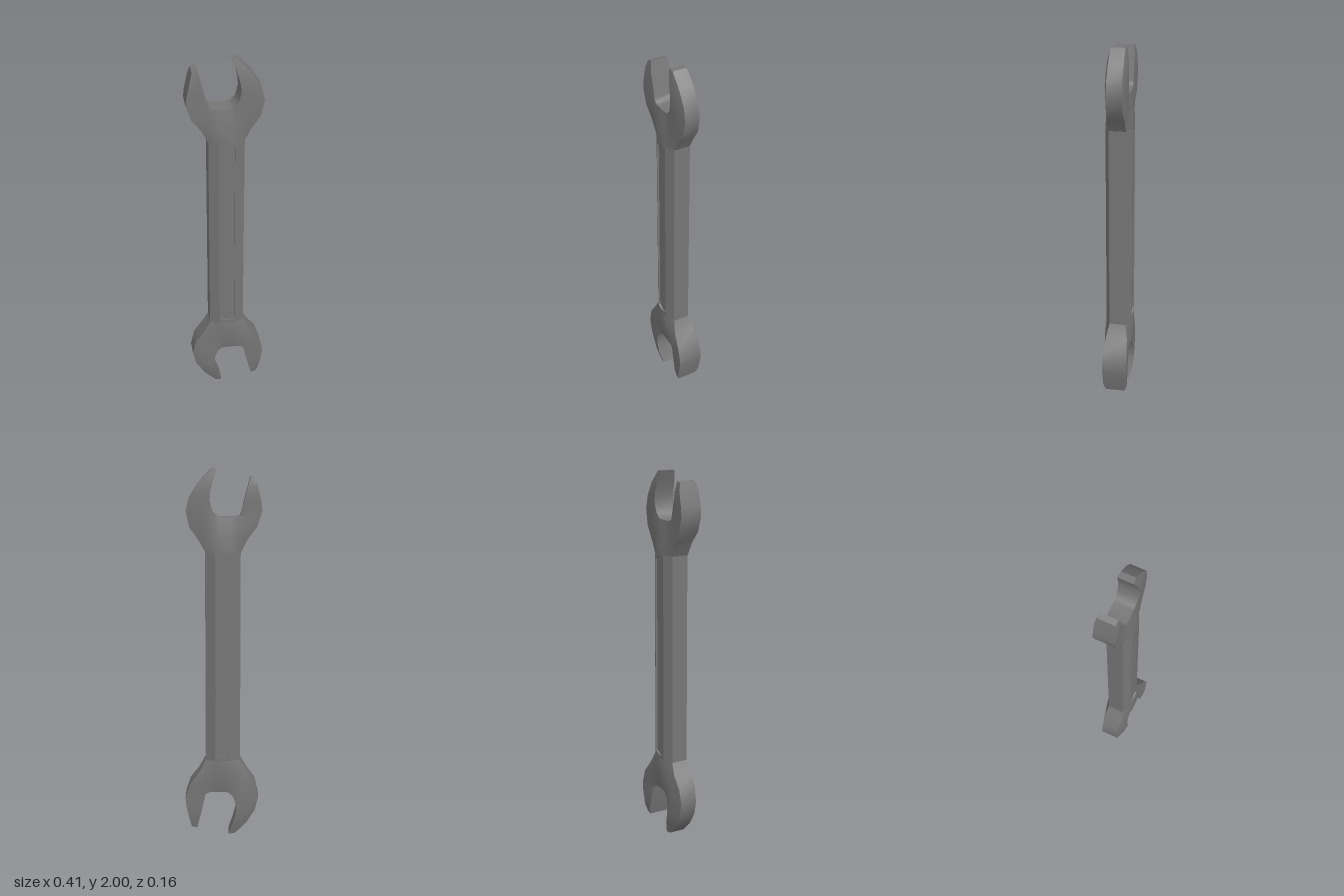
import * as THREE from 'three';
import { toCreasedNormals } from 'three/addons/utils/BufferGeometryUtils.js';

const material = new THREE.MeshStandardMaterial({ color: 0x767676 });

// Stations round the jaw, left tip to right tip:
// [outer x, y, half thickness], [inner x, y, half thickness], middle half thickness
const STATIONS = [
  [[-0.172, 1.955, 0.046], [-0.143, 1.963, 0.046], 0.046],
  [[-0.183, 1.915, 0.057], [-0.131, 1.915, 0.053], 0.056],
  [[-0.202, 1.830, 0.058], [-0.112, 1.840, 0.052], 0.057],
  [[-0.206, 1.785, 0.058], [-0.100, 1.785, 0.052], 0.057],
  [[-0.180, 1.705, 0.057], [-0.096, 1.770, 0.052], 0.058],
  [[-0.130, 1.640, 0.051], [-0.085, 1.757, 0.052], 0.060],
  [[-0.095, 1.570, 0.045], [-0.065, 1.752, 0.052], 0.062],
  [[-0.040, 1.570, 0.071], [-0.040, 1.752, 0.052], 0.068],
  [[0.040, 1.570, 0.071], [0.010, 1.752, 0.052], 0.068],
  [[0.092, 1.570, 0.045], [0.030, 1.755, 0.052], 0.062],
  [[0.130, 1.637, 0.045], [0.056, 1.778, 0.053], 0.058],
  [[0.176, 1.700, 0.042], [0.067, 1.810, 0.055], 0.055],
  [[0.195, 1.785, 0.040], [0.073, 1.840, 0.056], 0.053],
  [[0.177, 1.860, 0.040], [0.070, 1.880, 0.056], 0.052],
  [[0.130, 1.935, 0.040], [0.057, 1.930, 0.054], 0.050],
  [[0.065, 2.000, 0.038], [0.030, 2.000, 0.040], 0.040],
];

// Loft a six-point section through the stations; gain thickens all but the shaft joint
function jawGeometry(gain) {
  const pos = [], index = [], n = 6;
  for (const [o, i, midT] of STATIONS) {
    const mid = [o[0] * 0.55 + i[0] * 0.45, o[1] * 0.55 + i[1] * 0.45, midT];
    const half = [o, mid, i].map(([x, y, t]) => [x, y, y < 1.58 ? t : t * gain]);
    for (const [x, y, t] of half) pos.push(x, y, t);
    for (const [x, y, t] of half.reverse()) pos.push(x, y, -t);
  }
  const last = (STATIONS.length - 1) * n;
  for (let s = 0; s < last; s += n) {
    for (let j = 0; j < n; j++) {
      const a = s + j, b = s + (j + 1) % n;
      index.push(a, a + n, b, a + n, b + n, b);
    }
  }
  // Tip caps
  for (let j = 1; j < n - 1; j++) {
    index.push(0, j, j + 1, last, last + j + 1, last + j);
  }
  const geometry = new THREE.BufferGeometry();
  geometry.setAttribute('position', new THREE.Float32BufferAttribute(pos, 3));
  geometry.setIndex(index);
  return toCreasedNormals(geometry, THREE.MathUtils.degToRad(40));
}

const toPoints = (points) => points.map(([x, y]) => new THREE.Vector2(x, y));

export function createModel() {
  const group = new THREE.Group();
  const add = (name, geometry) => {
    const mesh = new THREE.Mesh(geometry, material);
    mesh.name = name;
    group.add(mesh);
    return mesh;
  };

  // Open jaws, the lower one turned half a circle
  add('upperJaw', jawGeometry(1));
  const lower = add('lowerJaw', jawGeometry(1.17));
  lower.rotation.z = Math.PI;
  lower.position.y = 2;

  // Shaft core: bevelled bar with a shallow channel front and back
  const core = new THREE.ExtrudeGeometry(new THREE.Shape(toPoints([
    [-0.094, -0.045], [-0.042, -0.071], [-0.042, -0.061], [0.042, -0.061], [0.042, -0.071], [0.094, -0.045],
    [0.094, 0.045], [0.042, 0.071], [0.042, 0.061], [-0.042, 0.061], [-0.042, 0.071], [-0.094, 0.045],
  ])), { depth: 1.14, bevelEnabled: false });
  core.rotateX(-Math.PI / 2).translate(0, 0.43, 0);
  add('shaft', core);

  // Rims that close the channels into long panels with clipped corners
  const rim = new THREE.Shape(toPoints([[-0.042, 0.43], [0.042, 0.43], [0.042, 1.57], [-0.042, 1.57]]));
  rim.holes.push(new THREE.Path(toPoints([
    [-0.012, 0.45], [-0.041, 0.466], [-0.041, 1.541], [-0.014, 1.557],
    [0.014, 1.557], [0.041, 1.541], [0.041, 0.466], [0.012, 0.45],
  ])));
  const rimGeometry = new THREE.ExtrudeGeometry(rim, { depth: 0.01, bevelEnabled: false });
  rimGeometry.translate(0, 0, 0.061);
  add('frontPanelRim', rimGeometry);
  add('backPanelRim', rimGeometry).rotation.y = Math.PI;

  return group;
}
